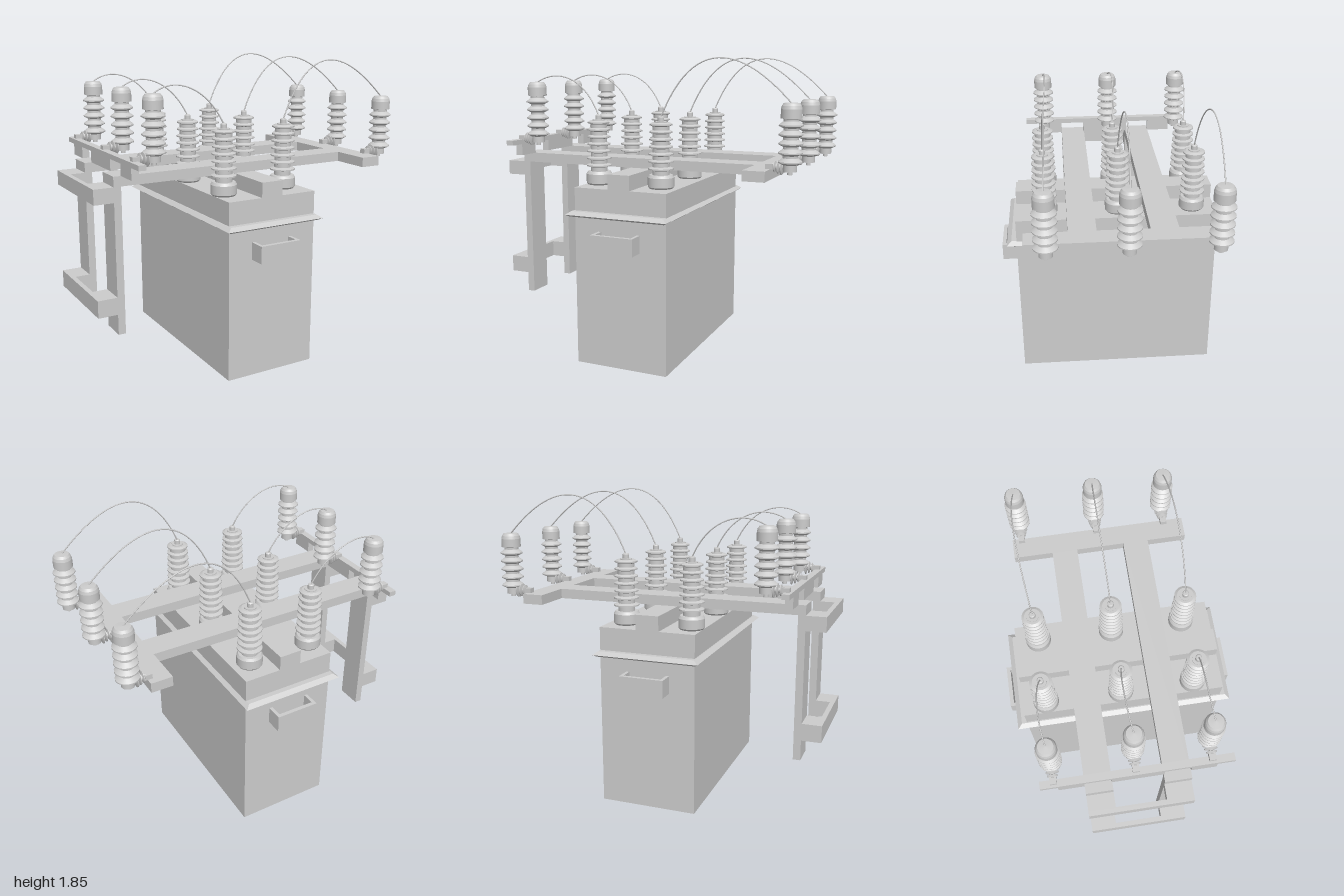
import * as THREE from 'three';

const material = new THREE.MeshStandardMaterial({ color: 0xcccccc, side: THREE.DoubleSide });
const V = (x, y, z) => new THREE.Vector3(x, y, z);

function add(parent, name, geometry, x = 0, y = 0, z = 0) {
  const mesh = new THREE.Mesh(geometry, material);
  mesh.name = name;
  mesh.position.set(x, y, z);
  parent.add(mesh);
  return mesh;
}

// Box given by its limits on each axis
function block(parent, name, x0, x1, y0, y1, z0, z1) {
  return add(parent, name, new THREE.BoxGeometry(x1 - x0, y1 - y0, z1 - z0),
    (x0 + x1) / 2, (y0 + y1) / 2, (z0 + z1) / 2);
}

// Lathe with crisp rings: every profile segment gets its own normals
function turned(points, sides = 28) {
  const split = [];
  points.forEach(([r, y], i) => {
    const p = new THREE.Vector2(r, y);
    split.push(p);
    if (i > 0 && i < points.length - 1) split.push(p.clone());
  });
  return new THREE.LatheGeometry(split, sides);
}

// Box whose top or bottom is narrowed to make a sloping lip
function taperedSlab(w, h, d, inset, narrowTop) {
  const g = new THREE.BoxGeometry(w, h, d);
  const p = g.attributes.position;
  for (let i = 0; i < p.count; i++) {
    if ((p.getY(i) > 0) === narrowTop) {
      p.setX(i, p.getX(i) - Math.sign(p.getX(i)) * inset);
      p.setZ(i, p.getZ(i) - Math.sign(p.getZ(i)) * inset);
    }
  }
  g.computeVertexNormals();
  return g;
}

// Bushing with flat discs, standing on y = 0
function bushingGeometry() {
  const pts = [[0, 0], [0.07, 0], [0.078, 0.01], [0.078, 0.065], [0.068, 0.08], [0.05, 0.08]];
  for (let i = 0; i < 7; i++) {
    const y = 0.105 + i * 0.043, r = 0.075 - i * 0.0015;
    pts.push([0.05, y], [r, y + 0.006], [r, y + 0.014], [0.05, y + 0.022]);
  }
  pts.push([0.036, 0.385], [0.036, 0.39], [0.019, 0.39], [0.019, 0.415], [0.014, 0.42], [0, 0.42]);
  return turned(pts);
}

// Arrester with conical sheds and a domed cap, bottom at y = 0
function arresterGeometry() {
  const pts = [[0, 0], [0.014, 0], [0.014, 0.018], [0.038, 0.018], [0.038, 0.055]];
  for (let i = 0; i < 5; i++) {
    const y = 0.055 + i * 0.05;
    pts.push([0.042, y], [0.067, y + 0.012], [0.067, y + 0.019], [0.042, y + 0.038]);
  }
  pts.push([0.042, 0.305], [0.058, 0.308], [0.058, 0.358], [0.053, 0.376], [0.043, 0.39], [0, 0.393]);
  return turned(pts);
}

// Ribbed standoff, built along y
function standoffGeometry() {
  const pts = [[0, 0], [0.018, 0]];
  [0.032, 0.038, 0.044].forEach((r, i) => {
    const y = 0.008 + i * 0.02;
    pts.push([0.016, y], [r, y + 0.005], [r, y + 0.009], [0.016, y + 0.014]);
  });
  pts.push([0.016, 0.09], [0, 0.09]);
  return turned(pts, 20);
}

export function createModel() {
  const model = new THREE.Group();

  // Tank, lid and ridge
  block(model, 'tank', -0.32, 0.27, 0, 0.93, -0.62, 0.62);
  add(model, 'flangeUnderside', taperedSlab(0.65, 0.012, 1.36, 0.02, false), -0.03, 0.926, 0);
  add(model, 'flangeTop', taperedSlab(0.65, 0.02, 1.36, 0.028, true), -0.03, 0.942, 0);
  block(model, 'lid', -0.32, 0.27, 0.945, 1.09, -0.62, 0.62);
  block(model, 'lidRidge', -0.1, 0.04, 1.09, 1.18, -0.62, 0.62);

  // Handles on the two ends
  for (const s of [1, -1]) {
    const handle = new THREE.Group();
    handle.name = s > 0 ? 'frontHandle' : 'backHandle';
    block(handle, 'handlePlate', -0.165, 0.105, 0.73, 0.835, s * 0.71 - 0.012, s * 0.71 + 0.012);
    for (const x of [-0.165, 0.085])
      block(handle, 'handleArm', x, x + 0.02, 0.73, 0.835, s * 0.66 - 0.04, s * 0.66 + 0.04);
    model.add(handle);
  }

  // Supporting frame
  const frame = new THREE.Group();
  frame.name = 'frame';
  for (const s of [1, -1]) {
    const z0 = s * 0.23 - 0.08, z1 = s * 0.23 + 0.08;
    block(frame, 'rail', -0.88, 0.69, 1.18, 1.24, z0, z1);
    block(frame, 'post', -0.88, -0.835, 0.3, 1.18, z0, z1);
    for (const [y0, y1] of [[0.425, 0.53], [1.09, 1.18]])
      block(frame, 'bracketArm', -0.97, -0.88, y0, y1, z0, z1);
    block(frame, 'outerBarSupport', -0.835, -0.79, 1.24, 1.31, s * 0.385 - 0.075, s * 0.385 + 0.075);
  }
  for (const [y0, y1] of [[0.425, 0.53], [1.09, 1.18]])
    block(frame, 'bracketPlate', -1, -0.97, y0, y1, -0.31, 0.31);
  block(frame, 'middleBarSupport', -0.835, -0.79, 1.24, 1.31, -0.155, 0.155);
  block(frame, 'rightBar', -0.835, -0.79, 1.31, 1.34, -0.56, 0.56);
  block(frame, 'leftBar', 0.69, 0.82, 1.18, 1.24, -0.555, 0.555);
  model.add(frame);

  // Three phases: bushings, arresters on standoffs, and wires
  const bushing = bushingGeometry(), arrester = arresterGeometry(), standoff = standoffGeometry();
  const phases = [[-0.475, -0.48, -0.495], [-0.01, -0.01, -0.01], [0.44, 0.43, 0.43]];
  for (const [zb, zr, zl] of phases) {
    const phase = new THREE.Group();
    phase.name = 'phase';
    for (const x of [-0.25, 0.16]) add(phase, 'bushing', bushing, x, 1.09, zb);
    for (const [x, y, z] of [[-0.685, 1.307, zr], [0.925, 1.212, zl]]) {
      add(phase, 'arrester', arrester, x, y, z);
      add(phase, 'standoff', standoff, x - 0.1, y + 0.042, z).rotation.z = -Math.PI / 2;
      block(phase, 'clamp', x - 0.135, x - 0.092, y + 0.027, y + 0.057, z - 0.02, z + 0.02);
    }
    const wires = [
      [V(-0.685, 1.695, zr), V(-0.56, 1.78, zr - 0.025), V(-0.36, 1.74, zb - 0.025), V(-0.25, 1.505, zb)],
      [V(0.16, 1.505, zb), V(0.32, 1.9, zb - 0.015), V(0.57, 1.97, zl - 0.025), V(0.925, 1.6, zl)],
    ];
    for (const w of wires)
      add(phase, 'wire', new THREE.TubeGeometry(new THREE.CubicBezierCurve3(...w), 32, 0.004, 6));
    model.add(phase);
  }
  return model;
}
